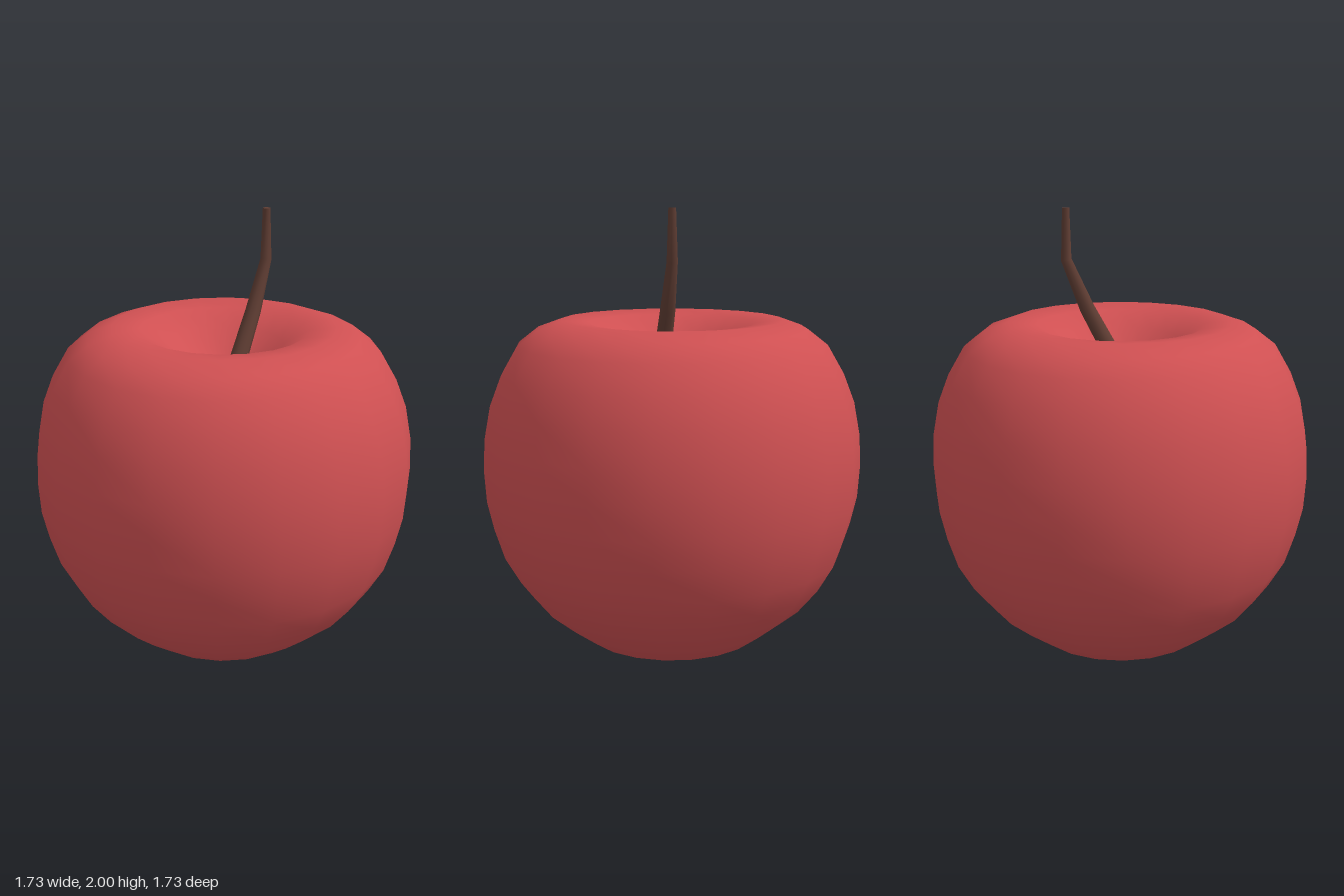
import * as THREE from 'three';

// Half outline of the fruit, from the bottom dimple round to the top dimple
const PROFILE = [
  [0, 0.1], [0.06, 0.09], [0.15, 0.04], [0.26, 0], [0.4, 0.02], [0.51, 0.1],
  [0.62, 0.19], [0.71, 0.3], [0.78, 0.42], [0.825, 0.56], [0.855, 0.69],
  [0.865, 0.84], [0.858, 0.98], [0.83, 1.13], [0.78, 1.26], [0.705, 1.39],
  [0.615, 1.46], [0.505, 1.5], [0.38, 1.485], [0.27, 1.42], [0.17, 1.335],
  [0.08, 1.27], [0, 1.25],
];

// Stem rings from base to tip: x, y, radius, lean of the ring in radians
const STEM = [
  [0, 1.27, 0.042, 0.5], [0.148, 1.55, 0.035, 0.45],
  [0.24, 1.77, 0.025, 0.2], [0.24, 2, 0.017, 0],
];
const STEM_Z = 0.053;

function createBody() {
  const points = PROFILE.map(([r, y]) => new THREE.Vector2(r, y));
  const body = new THREE.Mesh(
    new THREE.LatheGeometry(points, 20),
    new THREE.MeshStandardMaterial({ color: 0xcf5052 }),
  );
  body.name = 'fruitBody';
  return body;
}

function createStem() {
  // Bend and taper a plain cylinder: each ring moves to its place on the stem
  const bands = STEM.length - 1;
  const geometry = new THREE.CylinderGeometry(1, 1, bands, 10, bands);
  const position = geometry.attributes.position;
  for (let i = 0; i < position.count; i++) {
    const [x, y, radius, lean] = STEM[Math.round(position.getY(i) + bands / 2)];
    const side = position.getX(i) * radius;
    position.setXYZ(
      i,
      x + side * Math.cos(lean),
      y - side * Math.sin(lean),
      STEM_Z + position.getZ(i) * radius,
    );
  }
  geometry.computeVertexNormals();
  const stem = new THREE.Mesh(geometry, new THREE.MeshStandardMaterial({ color: 0x5f3d33 }));
  stem.name = 'stem';
  return stem;
}

export function createModel() {
  const model = new THREE.Group();
  model.name = 'apple';
  model.add(createBody(), createStem());
  return model;
}
